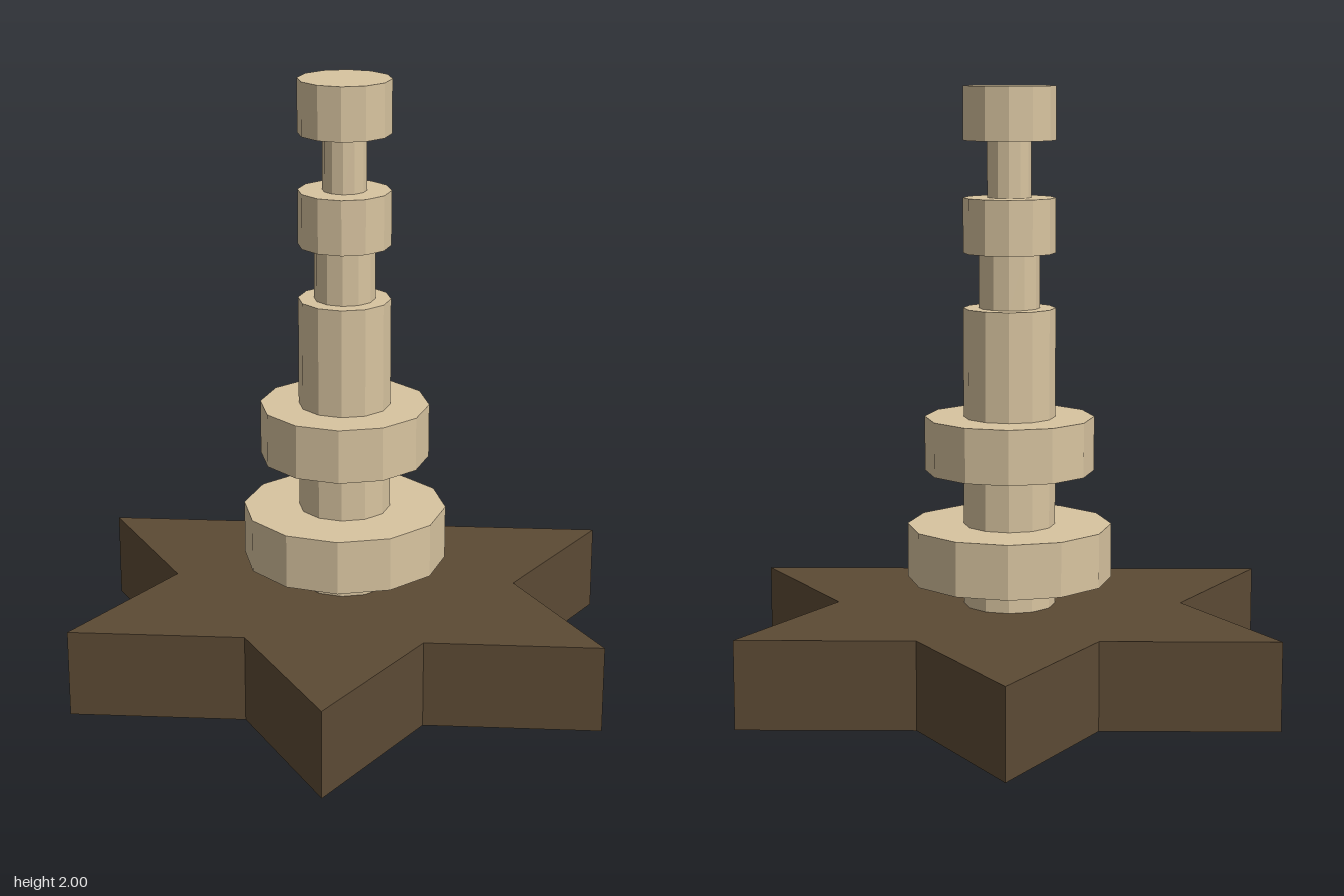
import * as THREE from 'three';

const SIDES = 12;
const BASE_HEIGHT = 0.29;

// Six-pointed star outline, one tip on the z axis
function starShape(outer, inner) {
  const points = [];
  for (let i = 0; i < 12; i++) {
    const r = i % 2 === 0 ? outer : inner;
    const a = Math.PI / 2 + (i * Math.PI) / 6;
    points.push(new THREE.Vector2(r * Math.cos(a), r * Math.sin(a)));
  }
  return new THREE.Shape(points);
}

export function createModel() {
  const model = new THREE.Group();
  model.name = 'starBasedSpindle';

  const darkWood = new THREE.MeshStandardMaterial({ color: 0x5c4a34, flatShading: true });
  const paleWood = new THREE.MeshStandardMaterial({ color: 0xd8c4a0, flatShading: true });

  // Star-shaped base slab
  const baseGeometry = new THREE.ExtrudeGeometry(starShape(0.99, 0.571), {
    depth: BASE_HEIGHT,
    bevelEnabled: false,
  });
  baseGeometry.rotateX(-Math.PI / 2);
  const base = new THREE.Mesh(baseGeometry, darkWood);
  base.name = 'starBase';
  model.add(base);

  // Turned spindle, stacked from the base up: name, radius, top height
  const spindle = new THREE.Group();
  spindle.name = 'spindle';
  const sections = [
    ['foot', 0.152, 0.38],
    ['lowerDisc', 0.338, 0.56],
    ['lowerShaft', 0.152, 0.74],
    ['upperDisc', 0.28, 0.92],
    ['middleShaft', 0.152, 1.28],
    ['lowerNeck', 0.1, 1.46],
    ['collar', 0.152, 1.64],
    ['upperNeck', 0.072, 1.825],
    ['cap', 0.152, 2],
  ];
  let bottom = BASE_HEIGHT;
  for (const [name, radius, top] of sections) {
    const section = new THREE.Mesh(
      new THREE.CylinderGeometry(radius, radius, top - bottom, SIDES),
      paleWood
    );
    section.name = name;
    section.position.y = (bottom + top) / 2;
    spindle.add(section);
    bottom = top;
  }
  model.add(spindle);

  return model;
}
